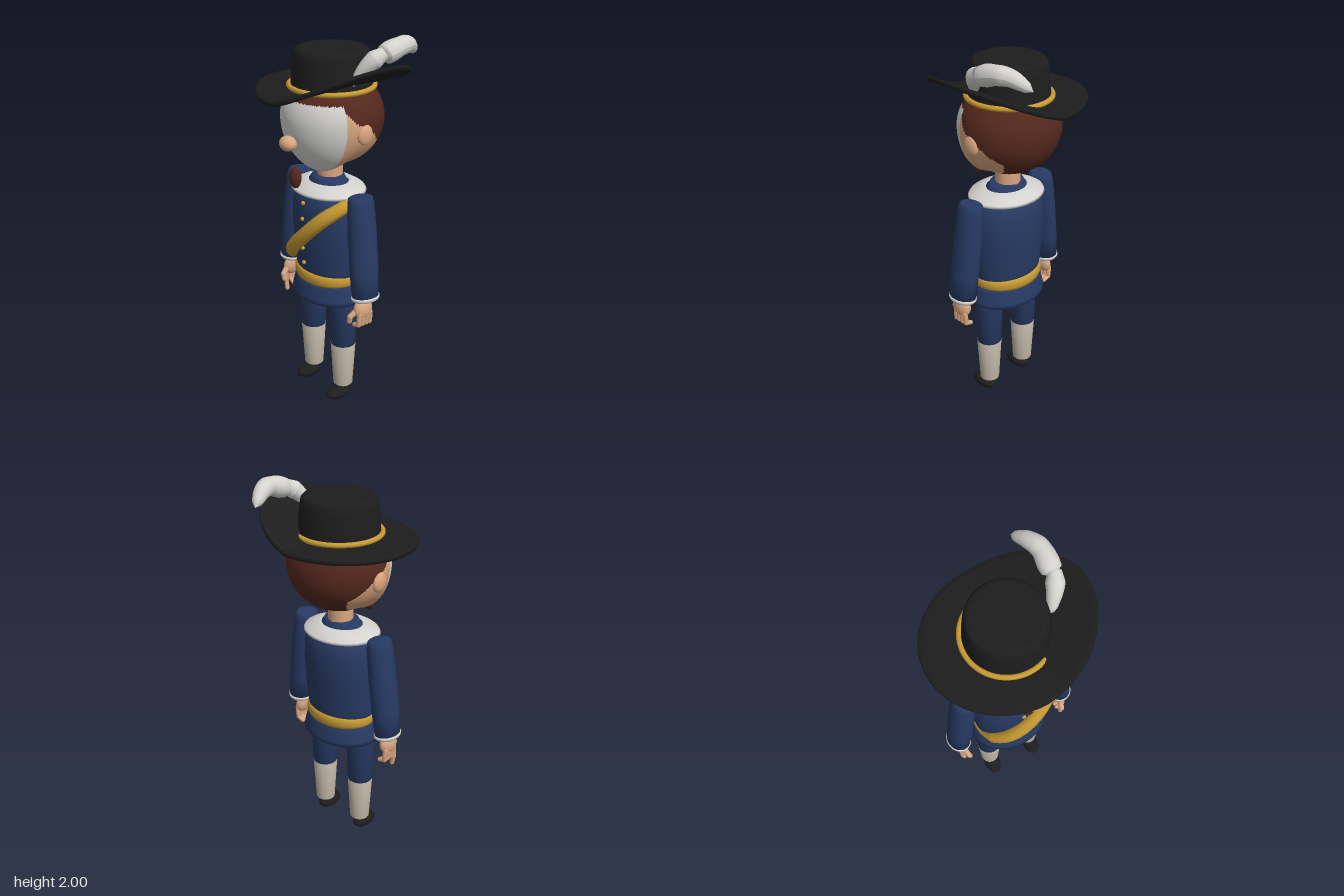
import * as THREE from 'three';

const mat = (name, color, extra = {}) => {
  const m = new THREE.MeshStandardMaterial({ color, ...extra });
  m.name = name;
  return m;
};
const M = {
  black: mat('hatBlack', 0x1d1d1d),
  blue: mat('coatBlue', 0x273a63),
  gold: mat('goldTrim', 0xc79a32),
  white: mat('maskWhite', 0xd3d2ce, { side: THREE.DoubleSide }),
  skin: mat('skin', 0xd9a67f),
  brown: mat('hairBrown', 0x54281d),
  cream: mat('bootCream', 0xbcb4a3),
};
const V = (a) => new THREE.Vector3(...a);

function add(parent, name, geo, material, pos = [0, 0, 0], scale = [1, 1, 1]) {
  const mesh = new THREE.Mesh(geo, material);
  mesh.name = name;
  mesh.position.set(...pos);
  mesh.scale.set(...scale);
  parent.add(mesh);
  return mesh;
}
const lathe = (pts, n = 48) => new THREE.LatheGeometry(pts.map((p) => new THREE.Vector2(...p)), n);
const ball = new THREE.SphereGeometry(1, 28, 20);

// Round limb between two points
function capsule(parent, name, a, b, r, material) {
  const from = V(a), dir = V(b).sub(from);
  const mesh = add(parent, name, new THREE.CapsuleGeometry(r, dir.length(), 5, 12), material);
  mesh.position.copy(from).addScaledVector(dir, 0.5);
  mesh.quaternion.setFromUnitVectors(new THREE.Vector3(0, 1, 0), dir.normalize());
}

// Tube whose radius follows a list of values
function taperTube(points, radii, steps = 48, sides = 18) {
  const curve = new THREE.CatmullRomCurve3(points.map(V));
  const geo = new THREE.TubeGeometry(curve, steps, 1, sides);
  const p = geo.attributes.position, v = new THREE.Vector3();
  for (let i = 0; i < p.count; i++) {
    const t = Math.floor(i / (sides + 1)) / steps;
    const f = t * (radii.length - 1), k = Math.min(Math.floor(f), radii.length - 2);
    const c = curve.getPointAt(t);
    v.fromBufferAttribute(p, i).sub(c).multiplyScalar(THREE.MathUtils.lerp(radii[k], radii[k + 1], f - k)).add(c);
    p.setXYZ(i, v.x, v.y, v.z);
  }
  geo.computeVertexNormals();
  return geo;
}

// Back edge of the cheek skin at each height
const HAIRLINE = [[1.3, 0.0], [1.36, -0.03], [1.42, -0.11], [1.47, -0.14], [1.55, -0.06], [1.62, 0.05], [1.67, 0.095]];
function hairEdge(y) {
  for (let i = 1; i < HAIRLINE.length; i++) {
    const [y0, z0] = HAIRLINE[i - 1], [y1, z1] = HAIRLINE[i];
    if (y < y1) return z0 + (z1 - z0) * Math.max(0, (y - y0) / (y1 - y0));
  }
  return 1;
}

// Head: one rounded form, its faces sorted into mask, skin and hair
function headGeometry() {
  const geo = new THREE.SphereGeometry(1, 128, 96).rotateX(Math.PI / 2);
  const p = geo.attributes.position;
  for (let i = 0; i < p.count; i++) {
    const x = p.getX(i), y = p.getY(i), z = p.getZ(i);
    const jaw = y < 0 ? -y * 0.055 * THREE.MathUtils.smoothstep(z, 0, 0.5) : 0;
    p.setXYZ(i, x * 0.262, 1.595 + y * (y > 0 ? 0.23 : 0.243) - jaw, z * 0.256 - 0.003);
  }
  geo.computeVertexNormals();
  const sets = [[], [], []], idx = geo.index.array;
  for (let i = 0; i < idx.length; i += 3) {
    const tri = [idx[i], idx[i + 1], idx[i + 2]];
    const y = tri.reduce((s, k) => s + p.getY(k), 0) / 3;
    const z = tri.reduce((s, k) => s + p.getZ(k), 0) / 3;
    const kind = y > 1.7 ? 2 : z > 0.095 ? 0 : z > hairEdge(y) ? 1 : 2;
    sets[kind].push(...tri);
  }
  geo.setIndex(sets.flat());
  let start = 0;
  sets.forEach((s, k) => { geo.addGroup(start, s.length, k); start += s.length; });
  return geo;
}

function buildHead(root) {
  const head = new THREE.Group();
  head.name = 'head';
  root.add(head);
  add(head, 'headAndHair', headGeometry(), [M.white, M.skin, M.brown]);
  add(head, 'nose', ball, M.skin, [0, 1.5, 0.268], [0.05, 0.038, 0.04]);
  add(head, 'goatee', ball, M.brown, [0, 1.315, 0.228], [0.034, 0.056, 0.028]);
  for (const s of [-1, 1]) add(head, 'ear', ball, M.skin, [s * 0.256, 1.555, 0], [0.022, 0.052, 0.044]);
  add(head, 'neck', new THREE.CylinderGeometry(0.065, 0.065, 0.16, 32), M.skin, [0, 1.32, 0.01]);
}

function buildHat(root) {
  const hat = new THREE.Group();
  hat.name = 'hat';
  root.add(hat);
  // Brim, swept up on the left side
  const rings = [0.17, 0.21, 0.25, 0.29, 0.33, 0.37, 0.395];
  const brim = lathe([
    ...rings.map((r) => [r, -0.012]), [0.4, 0], ...rings.slice().reverse().map((r) => [r, 0.012]),
  ], 96).scale(1, 1, 0.915);
  const p = brim.attributes.position;
  for (let i = 0; i < p.count; i++) {
    const x = p.getX(i), z = p.getZ(i);
    const sweep = 0.17 * Math.pow(Math.max(0, x / 0.4), 1.25);
    const droop = 0.018 * Math.pow(Math.max(0, z / 0.365), 2);
    p.setY(i, p.getY(i) + 1.728 + sweep - droop);
  }
  brim.computeVertexNormals();
  add(hat, 'brim', brim, M.black);
  add(hat, 'crown', lathe([
    [0.202, 1.72], [0.198, 1.8], [0.191, 1.88], [0.184, 1.915], [0.172, 1.928], [0.15, 1.932], [0, 1.932],
  ], 64), M.black);
  add(hat, 'hatBand', new THREE.TorusGeometry(0.21, 0.013, 12, 72).rotateX(Math.PI / 2), M.gold, [0, 1.75, 0]);
  // Plume: rising quill, then the bent vane
  add(hat, 'plumeBase', taperTube(
    [[0.2, 1.78, 0.03], [0.22, 1.84, 0.01], [0.255, 1.9, -0.035], [0.28, 1.94, -0.09]],
    [0, 0.025, 0.036, 0.045, 0.03]), M.white);
  add(hat, 'plume', taperTube(
    [[0.272, 1.915, -0.07], [0.272, 1.935, -0.12], [0.272, 1.955, -0.2], [0.25, 1.95, -0.26], [0.205, 1.9, -0.35]],
    [0, 0.048, 0.052, 0.05, 0.046, 0.046, 0.042, 0.038, 0.032, 0.024, 0]), M.white);
}

function buildBody(root) {
  const body = new THREE.Group();
  body.name = 'body';
  body.position.z = 0.02;
  root.add(body);
  const flat = [1, 1, 0.77];
  add(body, 'coat', lathe([
    [0, 0.68], [0.19, 0.7], [0.2, 0.8], [0.212, 0.92], [0.219, 1.04], [0.214, 1.14],
    [0.19, 1.2], [0.13, 1.24], [0.105, 1.27], [0.095, 1.288], [0, 1.29],
  ]), M.blue, [0, 0, 0], flat);
  add(body, 'collar', lathe([
    [0.19, 1.21], [0.212, 1.216], [0.205, 1.227], [0.16, 1.25], [0.12, 1.264], [0.112, 1.258],
  ]), M.white, [0, 0, 0], [1, 1, 0.85]);
  add(body, 'belt', lathe([
    [0.18, 0.713], [0.2, 0.718], [0.208, 0.735], [0.208, 0.76], [0.2, 0.777], [0.18, 0.783],
  ]), M.gold, [0, 0, 0], [0.98, 1, 0.79]);
  add(body, 'coatSkirt', lathe([
    [0, 0.63], [0.2, 0.612], [0.224, 0.618], [0.222, 0.64], [0.206, 0.7], [0.195, 0.73], [0, 0.735],
  ]), M.blue, [0, 0, 0], [1, 1, 0.79]);
  for (const y of [1.165, 1.08, 0.995, 0.915, 0.83]) {
    add(body, 'button', ball, M.gold, [0, y, y > 1.1 || y < 0.85 ? 0.164 : 0.17], [0.011, 0.011, 0.01]);
  }
  // Shoulder strap across the chest
  add(body, 'strap', taperTube([
    [0.215, 1.225, -0.02], [0.2, 1.18, 0.07], [0.14, 1.115, 0.145], [0.04, 1.01, 0.182],
    [-0.07, 0.905, 0.175], [-0.15, 0.825, 0.125], [-0.2, 0.775, 0.05],
  ], [0.01, 0.034, 0.038, 0.038, 0.038, 0.038, 0.036, 0.03, 0.005]), M.gold);
}

function buildArm(root, side) {
  const mirror = new THREE.Group();
  mirror.name = side > 0 ? 'leftArm' : 'rightArm';
  mirror.scale.x = side;
  const arm = new THREE.Group();
  arm.position.set(0.25, 1.243, 0.018);
  arm.rotation.set(-0.02, 0, 0.12);
  mirror.add(arm);
  root.add(mirror);
  add(arm, 'sleeve', lathe([
    [0, -0.53], [0.062, -0.53], [0.066, -0.4], [0.066, -0.2], [0.061, -0.04], [0.054, -0.006], [0.044, 0], [0, 0],
  ], 36), M.blue, [0, 0, 0], [1, 1, 1.18]);
  add(arm, 'cuff', lathe([[0, -0.548], [0.06, -0.548], [0.066, -0.538], [0.066, -0.528], [0.055, -0.522]], 36),
    M.white, [0, 0, 0], [1, 1, 1.18]);
  // Hand with curled fingers, thumb to the front
  add(arm, 'palm', ball, M.skin, [-0.012, -0.6, 0.01], [0.032, 0.056, 0.056]);
  [-0.028, -0.004, 0.02, 0.044].forEach((z, i) => {
    const straight = side < 0 && i === 3;
    const knuckle = [-0.006, -0.655, z];
    const joint = [-0.012, straight ? -0.7 : -0.685, z];
    const tip = straight ? [-0.026, -0.742, z] : [-0.045, -0.702 + Math.abs(i - 1.5) * 0.006, z];
    capsule(arm, 'finger', [0, -0.625, z * 0.9], knuckle, 0.014, M.skin);
    capsule(arm, 'finger', knuckle, joint, 0.0135, M.skin);
    capsule(arm, 'fingertip', joint, tip, 0.0125, M.skin);
  });
  capsule(arm, 'thumb', [-0.015, -0.6, 0.045], [-0.03, -0.632, 0.082], 0.015, M.skin);
  capsule(arm, 'thumbTip', [-0.03, -0.632, 0.082], [-0.04, -0.66, 0.08], 0.0135, M.skin);
}

function buildLeg(root, side) {
  const leg = new THREE.Group();
  leg.name = side > 0 ? 'leftLeg' : 'rightLeg';
  leg.position.set(side * 0.132, 0, 0.025);
  root.add(leg);
  add(leg, 'trouserLeg', lathe([[0, 0.35], [0.067, 0.35], [0.078, 0.63], [0.07, 0.7]], 32), M.blue);
  add(leg, 'boot', lathe([[0, 0.082], [0.045, 0.083], [0.053, 0.09], [0.068, 0.35], [0, 0.352]], 32), M.cream);
  add(leg, 'shoe', ball, M.black, [side * 0.003, 0.037, 0.037], [0.046, 0.034, 0.077]);
}

export function createModel() {
  const root = new THREE.Group();
  root.name = 'figure';
  buildHead(root);
  buildHat(root);
  buildBody(root);
  for (const side of [-1, 1]) {
    buildArm(root, side);
    buildLeg(root, side);
  }
  return root;
}
